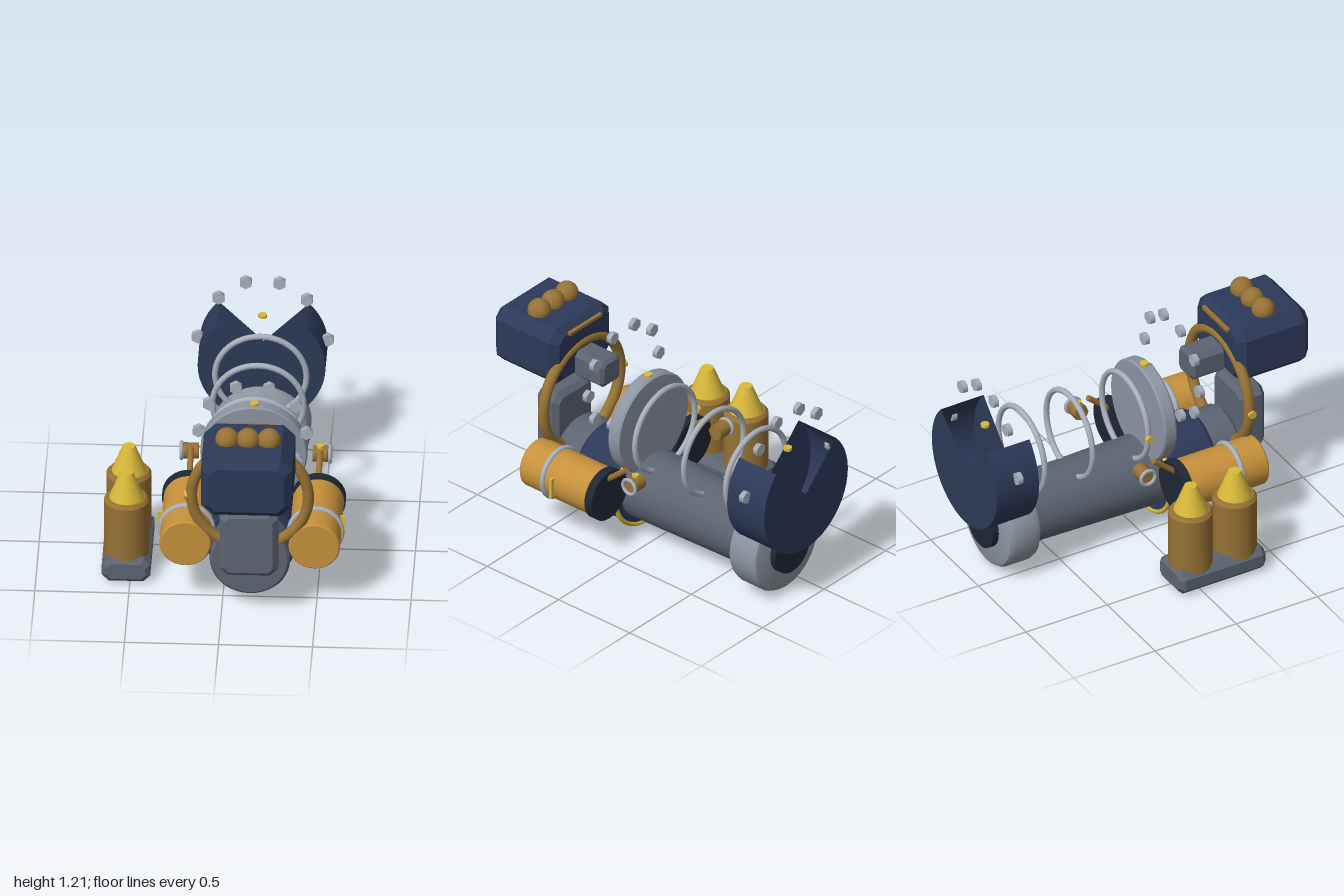
import * as THREE from 'three';
import { toCreasedNormals } from 'three/addons/utils/BufferGeometryUtils.js';

const CX = 0.147;   // main axis
const BARREL_Y = 0.285;
const RING_Y = 0.67;

const material = (color) => new THREE.MeshStandardMaterial({ color });
const steel = material(0x5c6472);
const silver = material(0x8c95a2);
const bright = material(0xa9b0bd);
const navy = material(0x2c3958);
const dark = material(0x1f2736);
const orange = material(0xc6913b);
const bronze = material(0x977234);
const yellow = material(0xd9b93a);

export function createModel() {
  const group = new THREE.Group();

  const add = (name, geometry, mat, x, y, z) => {
    const mesh = new THREE.Mesh(geometry, mat);
    mesh.name = name;
    mesh.position.set(x, y, z);
    group.add(mesh);
    return mesh;
  };

  // Turned part along z; profile is [radius, z] from back to front
  const turned = (profile, segments = 40) => {
    const g = new THREE.LatheGeometry(profile.map(([r, z]) => new THREE.Vector2(r, z)), segments);
    g.rotateX(Math.PI / 2);
    return toCreasedNormals(g, 0.5);
  };

  const rod = (r, length, axis = 'y', sides = 24) => {
    const g = new THREE.CylinderGeometry(r, r, length, sides);
    if (axis === 'z') g.rotateX(Math.PI / 2);
    if (axis === 'x') g.rotateZ(Math.PI / 2);
    return g;
  };

  // Box with every edge chamfered, given by its limits
  const chamferBox = (name, mat, [x0, x1], [y0, y1], [z0, z1], c) => {
    const a = (x1 - x0) / 2 - c, b = (y1 - y0) / 2 - c, k = c * 0.9;
    const shape = new THREE.Shape();
    shape.moveTo(-a + k, -b);
    for (const [px, py] of [[a - k, -b], [a, -b + k], [a, b - k], [a - k, b], [-a + k, b], [-a, b - k], [-a, -b + k]]) shape.lineTo(px, py);
    shape.closePath();
    const depth = z1 - z0 - 2 * c;
    const g = new THREE.ExtrudeGeometry(shape, { depth, bevelEnabled: true, bevelSegments: 1, bevelSize: c, bevelThickness: c });
    g.translate(0, 0, -depth / 2);
    return add(name, g, mat, (x0 + x1) / 2, (y0 + y1) / 2, (z0 + z1) / 2);
  };

  // Barrel, sleeve and rear flange
  add('barrel', turned([[0, -0.8], [0.184, -0.8], [0.208, 0.4], [0.214, 0.585], [0.2, 0.6], [0, 0.6]]), steel, CX, BARREL_Y, 0);
  add('barrelSleeve', turned([[0, 0.12], [0.24, 0.12], [0.24, 0.41], [0.228, 0.43], [0, 0.43]]), navy, CX, BARREL_Y, 0);
  add('sleeveRing', new THREE.TorusGeometry(0.246, 0.013, 10, 48), yellow, CX, BARREL_Y, 0.125);
  add('rearFlange', turned([[0, -0.87], [0.228, -0.87], [0.25, -0.862], [0.262, -0.84], [0.262, -0.71], [0.252, -0.682], [0.232, -0.668], [0, -0.668]]), silver, CX, BARREL_Y, 0);
  add('rearPlug', rod(0.14, 0.06, 'z', 32), dark, CX, BARREL_Y, -0.876);

  // Open three-quarter drum at the back
  const drum = new THREE.CylinderGeometry(0.34, 0.34, 0.26, 36, 1, false, -0.75 * Math.PI, 1.5 * Math.PI);
  drum.rotateX(Math.PI / 2);
  const drumMaterial = material(0x2c3958);
  drumMaterial.side = THREE.DoubleSide;
  add('rearDrum', drum, drumMaterial, CX, RING_Y, -0.87);

  // Hoops, disc and front ring above the barrel
  for (const z of [-0.01, -0.352, -0.647]) {
    add('hoop', new THREE.TorusGeometry(0.243, 0.016, 10, 48), bright, CX, RING_Y, z);
  }
  add('disc', turned([[0, 0.068], [0.278, 0.068], [0.285, 0.078], [0.285, 0.136], [0.278, 0.146], [0, 0.146]], 48), silver, CX, RING_Y, 0);
  add('frontRing', new THREE.TorusGeometry(0.311, 0.03, 14, 56), bronze, CX, RING_Y, 0.573);

  // Small studs
  add('discStud', rod(0.024, 0.02, 'y', 12), yellow, CX, 0.956, 0.108);
  add('drumStud', rod(0.024, 0.016, 'y', 12), yellow, CX, 0.907, -0.872);
  add('frontRingStud', rod(0.022, 0.022, 'x', 12), yellow, -0.193, RING_Y, 0.573);
  add('hoopStud', rod(0.022, 0.022, 'x', 12), yellow, -0.113, 0.665, -0.012);

  // Hex bolts: a full circle at the front, an arc at the back
  const bolt = (x, y, z) => add('hexBolt', rod(0.036, 0.03, 'z', 6), bright, x, y, z);
  for (let i = 0; i < 10; i++) {
    const t = (i * Math.PI) / 5;
    bolt(CX + 0.286 * Math.cos(t), 0.89 + 0.286 * Math.sin(t), 0.28);
  }
  for (const side of [-1, 1]) {
    for (const [dx, y] of [[0.346, 0.767], [0.235, 1.013], [0.09, 1.112]]) bolt(CX + side * dx, y, -0.872);
  }

  // Head block with balls, neck and trim bar
  chamferBox('headBlock', navy, [-0.096, 0.39], [0.785, 1.13], [0.555, 1], 0.042);
  chamferBox('headNeck', steel, [0.068, 0.226], [0.793, 0.952], [0.36, 0.57], 0.018);
  for (let i = -1; i <= 1; i++) {
    add('headBall', new THREE.SphereGeometry(0.063, 24, 16), bronze, CX + i * 0.112, 1.145, 0.775);
  }
  add('headTrimBar', new THREE.BoxGeometry(0.26, 0.018, 0.02), bronze, CX, 1.093, 0.55);

  // Plate in front of the barrel
  chamferBox('frontPlate', steel, [-0.008, 0.303], [0.28, 0.673], [0.618, 0.77], 0.028);

  // Side tanks with cap, band, latch and a valve behind
  for (const side of [-1, 1]) {
    const x = CX + side * 0.343, y = 0.376;
    add('tank', turned([[0, 0.1], [0.137, 0.1], [0.137, 0.592], [0.13, 0.6], [0, 0.6]], 32), orange, x, y, 0);
    add('tankCap', rod(0.146, 0.05, 'z', 32), dark, x, y, 0.108);
    add('tankBand', new THREE.TorusGeometry(0.138, 0.015, 10, 40), bright, x, y, 0.434);
    add('tankLatch', new THREE.BoxGeometry(0.025, 0.118, 0.016), yellow, x + side * 0.142, 0.372, 0.365);
    const arm = add('valveArm', rod(0.016, 0.2, 'y', 12), bronze, x, 0.52, 0.04);
    arm.rotation.x = -0.87;
    add('valveBody', rod(0.044, 0.08, 'x', 8), bronze, x, 0.53, -0.1);
    const wheel = add('valveWheel', new THREE.TorusGeometry(0.043, 0.01, 8, 28), bright, x + side * 0.052, 0.53, -0.1);
    wheel.rotation.y = Math.PI / 2;
  }
  add('valveStud', rod(0.02, 0.016, 'y', 12), yellow, CX + 0.343, 0.575, -0.1);

  // Tray with two upright shells
  chamferBox('shellTray', steel, [-0.65, -0.392], [0, 0.14], [-0.128, 0.4], 0.025);
  for (const z of [0, 0.27]) {
    const caseProfile = [[0, 0.06], [0.12, 0.06], [0.12, 0.445], [0.106, 0.462], [0, 0.462]];
    const body = new THREE.LatheGeometry(caseProfile.map(([r, y]) => new THREE.Vector2(r, y)), 32);
    add('shellCase', toCreasedNormals(body, 0.5), bronze, -0.523, 0, z);
    add('shellTip', new THREE.CylinderGeometry(0.034, 0.093, 0.152, 32), yellow, -0.523, 0.536, z);
  }

  return group;
}
